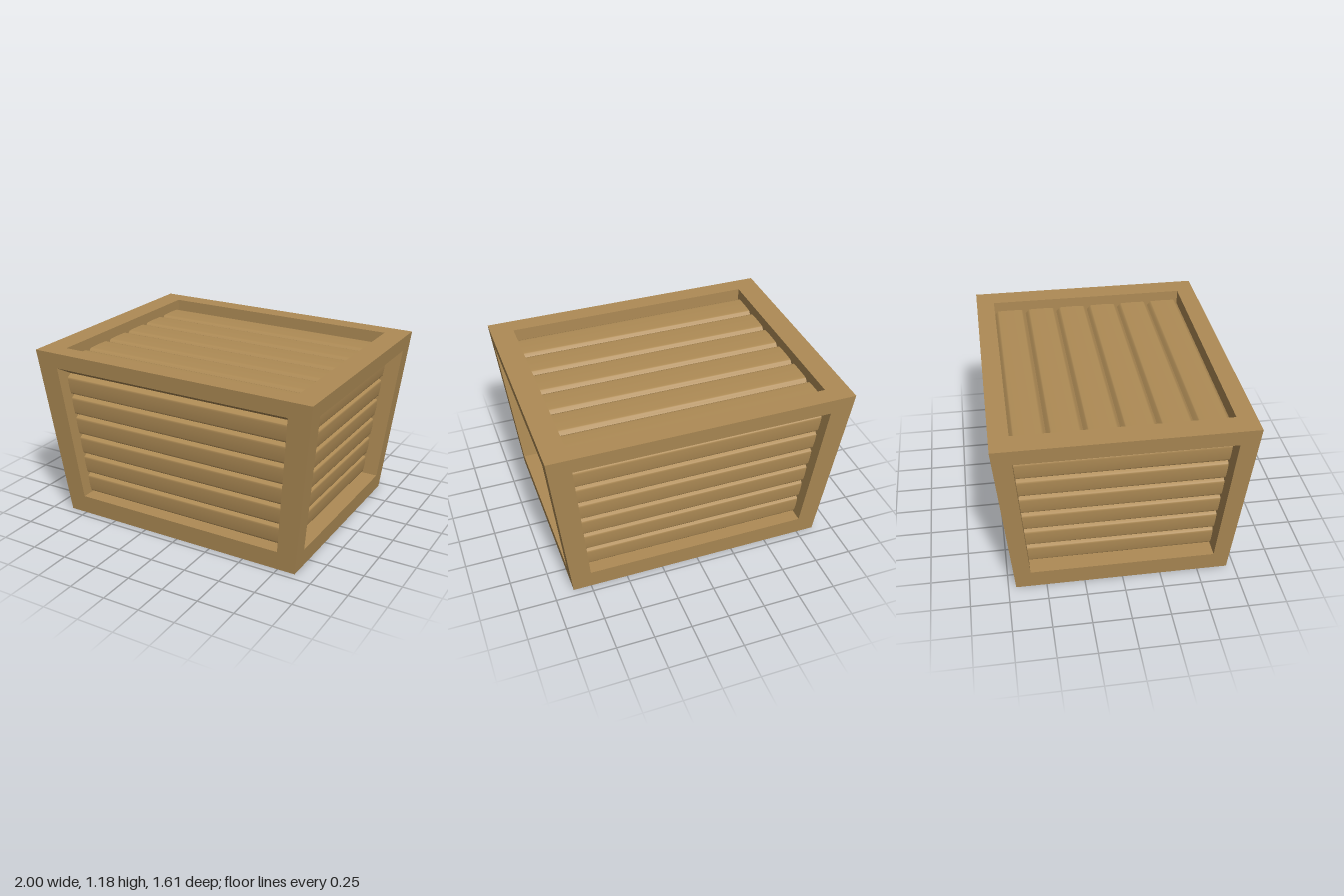
import * as THREE from 'three';

const H = 1.185;
const wood = new THREE.MeshStandardMaterial({ color: 0xae8b55 });
wood.name = 'wood';

const V = (x, y, z) => new THREE.Vector3(x, y, z);

// Flat four-sided faces, corners counter-clockwise from outside
function quads(name, list) {
  const pos = [];
  for (const [a, b, c, d] of list)
    for (const p of [a, b, c, a, c, d]) pos.push(p.x, p.y, p.z);
  const g = new THREE.BufferGeometry();
  g.setAttribute('position', new THREE.Float32BufferAttribute(pos, 3));
  g.computeVertexNormals();
  const m = new THREE.Mesh(g, wood);
  m.name = name;
  return m;
}

// Rim between two matching loops of four corners
const ring = (outer, inner) => outer.map((p, i) => {
  const j = (i + 1) % 4;
  return [p, outer[j], inner[j], inner[i]];
});

// Slat cross-section with steep edges: position across the slat, height above the panel
const PROFILE = [[0, 0], [0.05, 0.42], [0.1, 0.84], [0.13, 0.91], [0.2, 0.95], [0.5, 1],
  [0.8, 0.95], [0.87, 0.91], [0.9, 0.84], [0.95, 0.42], [1, 0]];

// One rounded slat across the panel, from v0 to v1 up its height
function slat([bl, br, tr, tl], normal, v0, v1, bulge) {
  const pos = [], index = [];
  PROFILE.forEach(([t, h], i) => {
    const v = v0 + (v1 - v0) * t;
    for (const [lo, hi] of [[bl, tl], [br, tr]]) {
      const p = lo.clone().lerp(hi, v).addScaledVector(normal, h * bulge);
      pos.push(p.x, p.y, p.z);
    }
    if (i) {
      const k = 2 * i - 2;
      index.push(k, k + 1, k + 3, k, k + 3, k + 2);
    }
  });
  const g = new THREE.BufferGeometry();
  g.setAttribute('position', new THREE.Float32BufferAttribute(pos, 3));
  g.setIndex(index);
  g.computeVertexNormals();
  const m = new THREE.Mesh(g, wood);
  m.name = 'slat';
  return m;
}

// Frame face, recess walls and six slats that close the recess
function framedFace(name, outer, hole, inner, bulge) {
  const group = new THREE.Group();
  group.name = name;
  const normal = inner[1].clone().sub(inner[0]).cross(inner[3].clone().sub(inner[0])).normalize();
  group.add(quads('frame', ring(outer, hole)), quads('recess', ring(hole, inner)));
  for (let i = 0; i < 6; i++) group.add(slat(inner, normal, i / 6, (i + 1) / 6, bulge));
  return group;
}

// Sloping wall facing +z; half-widths and distances at bottom and top
function wall(name, w0, w1, z0, z1, hole0, hole1, recess, bulge, turn) {
  const depthAt = y => z0 + (z1 - z0) * y / H;
  const holeAt = y => hole0 + (hole1 - hole0) * (y - 0.13) / 0.95;
  const loop = (yb, yt, half, inset) => [[-1, yb], [1, yb], [1, yt], [-1, yt]]
    .map(([s, y]) => V(s * half(y), y, depthAt(y) - inset));
  const g = framedFace(name,
    loop(0, H, y => w0 + (w1 - w0) * y / H, 0),
    loop(0.13, 1.08, holeAt, 0),
    loop(0.13, 1.01, holeAt, recess), bulge);
  g.rotation.y = turn;
  return g;
}

export function createModel() {
  const crate = new THREE.Group();
  crate.name = 'crate';

  // Four slatted walls, the narrow pair set deeper
  for (const [side, turn] of [['front', 0], ['back', Math.PI]])
    crate.add(wall(side + 'Wall', 0.87, 1, 0.7, 0.803, 0.75, 0.84, 0.12, 0.042, turn));
  for (const [side, turn] of [['left', Math.PI / 2], ['right', -Math.PI / 2]])
    crate.add(wall(side + 'Wall', 0.7, 0.803, 0.87, 1, 0.603, 0.675, 0.155, 0.05, turn));

  // Slatted lid
  const flat = (x, y, z) => [V(-x, y, z), V(x, y, z), V(x, y, -z), V(-x, y, -z)];
  crate.add(framedFace('lid', flat(1, H, 0.803), flat(0.845, H, 0.68), flat(0.845, H - 0.1, 0.68), 0.032));

  // Plain base
  crate.add(quads('base', [flat(0.87, 0, 0.7).reverse()]));
  return crate;
}
